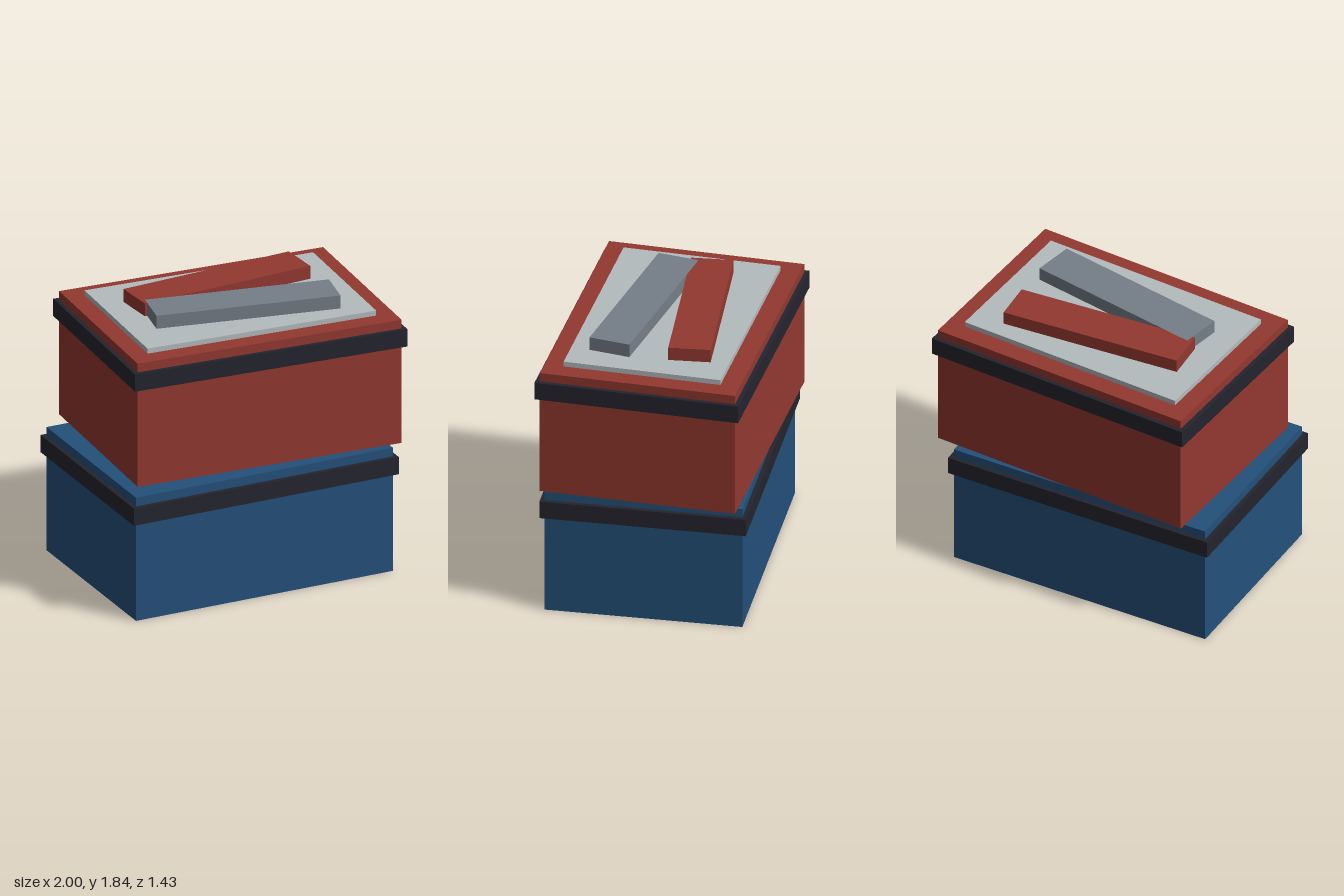
import * as THREE from 'three';

const paint = (name, color) => {
  const m = new THREE.MeshStandardMaterial({ color });
  m.name = name;
  return m;
};

export function createModel() {
  const blue = paint('blue', 0x24507a);
  const red = paint('brick red', 0x923830);
  const dark = paint('dark trim', 0x24242e);
  const pale = paint('pale grey', 0xb4bbbe);
  const steel = paint('steel grey', 0x757e88);

  const model = new THREE.Group();
  model.name = 'stackedCrates';

  // Box resting on height y
  const block = (parent, name, material, [w, h, d], [x, y, z], turn = 0) => {
    const mesh = new THREE.Mesh(new THREE.BoxGeometry(w, h, d), material);
    mesh.name = name;
    mesh.position.set(x, y + h / 2, z);
    mesh.rotation.y = turn;
    parent.add(mesh);
  };

  // Crate body with a trim band around its upper edge
  const crate = (name, material, x, y, z, turn) => {
    const group = new THREE.Group();
    group.name = name;
    group.position.set(x, y, z);
    group.rotation.y = turn;
    block(group, name + 'Body', material, [1.81, 0.845, 1.27], [0, 0, 0]);
    block(group, name + 'Band', dark, [1.867, 0.118, 1.325], [0, 0.668, 0]);
    model.add(group);
    return group;
  };

  crate('lowerCrate', blue, -0.066, 0, 0.032, 0);
  const upper = crate('upperCrate', red, 0.025, 0.876, 0, -0.06);

  // Plate on the upper crate
  block(upper, 'topPlate', pale, [1.568, 0.034, 1.02], [0, 0.845, 0]);

  // Two crossing bars lying on the plate
  block(model, 'redBar', red, [1.207, 0.088, 0.27], [0.022, 1.755, -0.185], 0.064);
  block(model, 'steelBar', steel, [1.207, 0.089, 0.27], [0.023, 1.755, 0.18], -0.186);

  return model;
}
